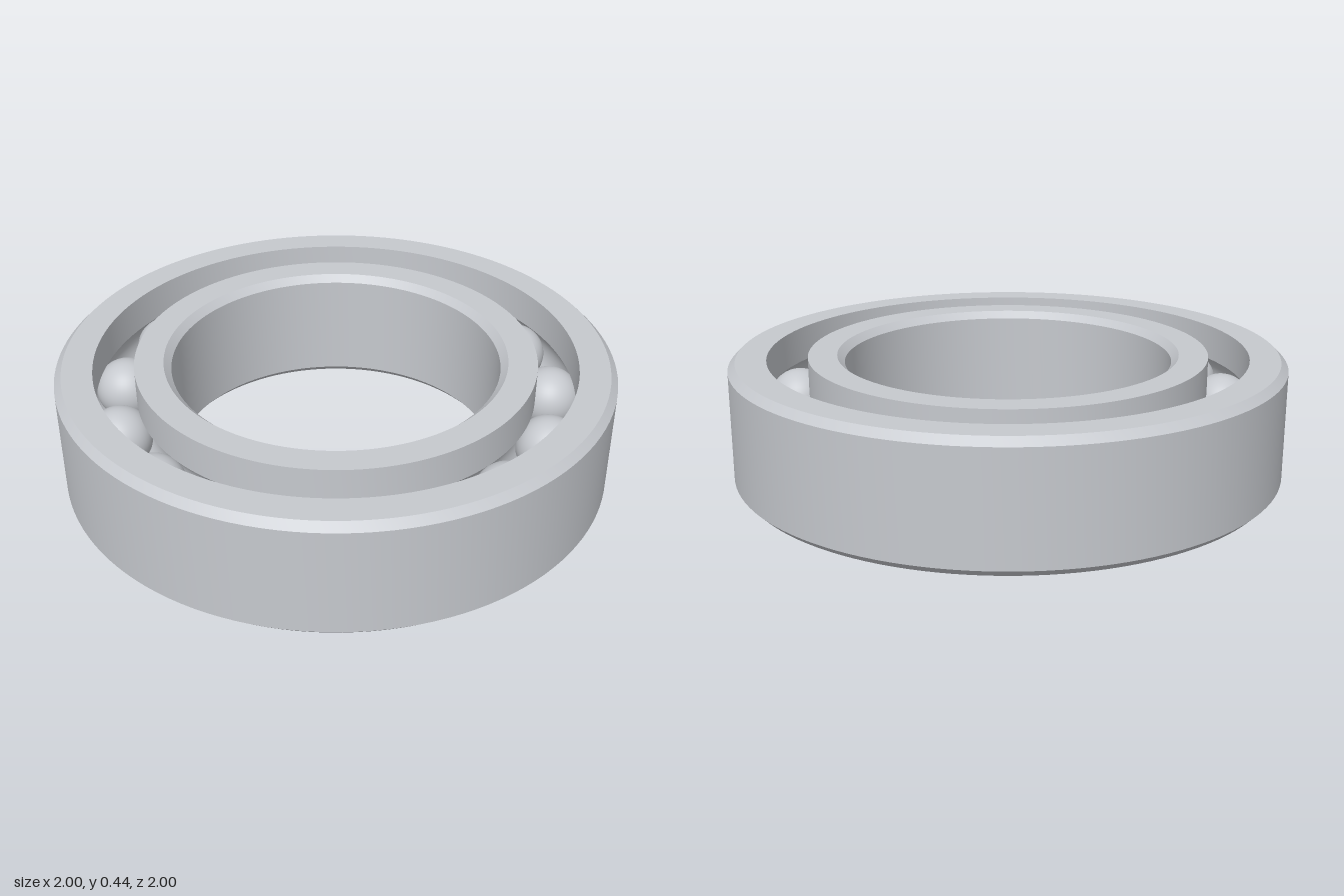
import * as THREE from 'three';
import { toCreasedNormals } from 'three/addons/utils/BufferGeometryUtils.js';

const H = 0.444, MID = H / 2, CHAMFER = 0.026;
const OUTER = 1, OUTER_LAND = 0.865, INNER_LAND = 0.72, BORE = 0.59;
const PITCH = (OUTER_LAND + INNER_LAND) / 2;
const BALL_R = 0.114, GROOVE_R = 0.116, BALLS = 15;

// Curved raceway profile, centred on the ball circle; side +1 faces inward, -1 outward
function groove(land, side) {
  const half = Math.acos(Math.abs(land - PITCH) / GROOVE_R);
  const points = [];
  for (let i = 0; i <= 12; i++) {
    const a = half * (1 - i / 6);
    points.push([PITCH + side * GROOVE_R * Math.cos(a), MID + side * GROOVE_R * Math.sin(a)]);
  }
  return points;
}

// Closed profile, counterclockwise in (radius, height), spun with crisp edges
function ring(name, profile, material) {
  const points = [...profile, profile[0]].map(([r, y]) => new THREE.Vector2(r, y));
  const geometry = toCreasedNormals(new THREE.LatheGeometry(points, 128), 0.5);
  const mesh = new THREE.Mesh(geometry, material);
  mesh.name = name;
  return mesh;
}

export function createModel() {
  const model = new THREE.Group();
  model.name = 'ballBearing';
  const steel = new THREE.MeshStandardMaterial({ color: 0xc6c9ce });
  steel.name = 'steel';

  // Outer ring: chamfered outside, raceway inside
  model.add(ring('outerRing', [
    [OUTER - CHAMFER, 0], [OUTER, CHAMFER], [OUTER, H - CHAMFER], [OUTER - CHAMFER, H],
    [OUTER_LAND, H], ...groove(OUTER_LAND, 1), [OUTER_LAND, 0],
  ], steel));

  // Inner ring: raceway outside, chamfered bore
  model.add(ring('innerRing', [
    [INNER_LAND, 0], ...groove(INNER_LAND, -1), [INNER_LAND, H],
    [BORE + CHAMFER, H], [BORE, H - CHAMFER], [BORE, CHAMFER], [BORE + CHAMFER, 0],
  ], steel));

  // Balls spaced evenly around the raceway
  const balls = new THREE.Group();
  balls.name = 'balls';
  const ballGeometry = new THREE.SphereGeometry(BALL_R, 40, 24);
  for (let i = 0; i < BALLS; i++) {
    const a = (i / BALLS) * Math.PI * 2;
    const ball = new THREE.Mesh(ballGeometry, steel);
    ball.name = 'ball';
    ball.position.set(PITCH * Math.cos(a), MID, PITCH * Math.sin(a));
    balls.add(ball);
  }
  model.add(balls);
  return model;
}
